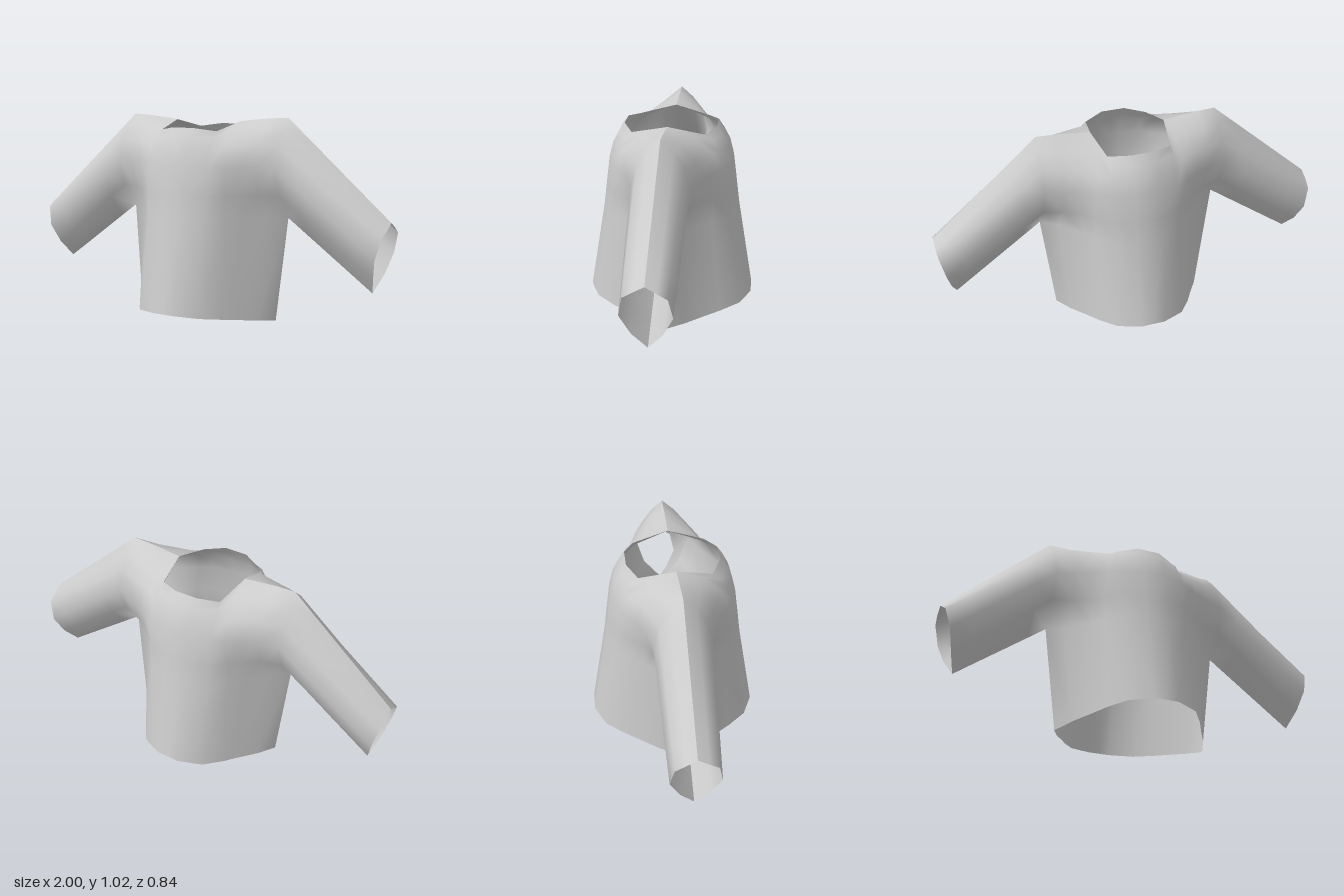
import * as THREE from 'three';
import { mergeVertices } from 'three/addons/utils/BufferGeometryUtils.js';

// Rows of the front half from centre line to side seam / armhole, hem upwards
const bodyRows = [
  [[0, .07, .42], [.06, .07, .42], [.175, .06, .367], [.245, .046, .275], [.29, .034, .2], [.35, .019, .105], [.4, .003, 0]],
  [[0, .53, .343], [.06, .53, .343], [.165, .53, .3], [.235, .53, .222], [.285, .53, .162], [.38, .53, .055], [.465, .53, 0]],
  [[0, .65, .328], [.06, .65, .328], [.17, .65, .29], [.24, .65, .228], [.29, .65, .175], [.37, .65, .127], [.465, .65, .1]],
  [[0, .79, .31], [.06, .79, .31], [.17, .79, .28], [.23, .79, .245], [.29, .79, .205], [.37, .785, .168], [.465, .78, .14]],
  [[0, .87, .29], [.06, .87, .29], [.16, .87, .25], [.21, .88, .215], [.29, .89, .175], [.37, .89, .15], [.463, .89, .112]],
  [[0, .93, .258], [.06, .93, .258], [.163, .925, .215], [.2, .965, .125], [.285, .965, .105], [.37, .965, .085], [.462, .965, .06]],
  [[0, .97, .23], [.06, .97, .23], [.16, .955, .18], [.19, .997, 0], [.28, 1.008, 0], [.37, 1.016, 0], [.46, 1.02, 0]],
];

// Half outline of the cuff, from underside to top
const cuff = [[.915, .207, 0], [.945, .29, .07], [.97, .39, .12], [.995, .49, .1], [1, .52, .053], [1, .55, 0]];

// Sleeve rows run from the armhole to the cuff
const sleeveRows = cuff.map((end, i) => {
  const start = bodyRows[i + 1][6];
  return [0, .2, .4, .6, .8, 1].map((t) => start.map((s, k) => s + (end[k] - s) * t));
});

// Adds a grid of quads, optionally mirrored across x
function addGrid(out, rows, side) {
  const put = (...pts) => pts.forEach(([x, y, z]) => out.push(x * side, y, z));
  for (let v = 0; v < rows.length - 1; v++) {
    for (let u = 0; u < rows[v].length - 1; u++) {
      const a = rows[v][u], b = rows[v][u + 1], c = rows[v + 1][u + 1], d = rows[v + 1][u];
      if (side > 0) put(a, b, c, a, c, d);
      else put(a, c, b, a, d, c);
    }
  }
}

export function createModel() {
  const group = new THREE.Group();
  group.name = 'shirt';
  const cloth = new THREE.MeshStandardMaterial({ color: 0xcccccc, side: THREE.DoubleSide });
  cloth.name = 'grey cloth';

  // One panel with both half sleeves; smooth within, creased at the seams
  const positions = [];
  for (const side of [1, -1]) {
    addGrid(positions, bodyRows, side);
    addGrid(positions, sleeveRows, side);
  }
  let geometry = new THREE.BufferGeometry();
  geometry.setAttribute('position', new THREE.Float32BufferAttribute(positions, 3));
  geometry = mergeVertices(geometry, 1e-4);
  geometry.computeVertexNormals();

  // The back is the same panel turned round
  ['frontPanel', 'backPanel'].forEach((name, i) => {
    const panel = new THREE.Mesh(geometry, cloth);
    panel.name = name;
    panel.rotation.y = i * Math.PI;
    group.add(panel);
  });
  return group;
}
